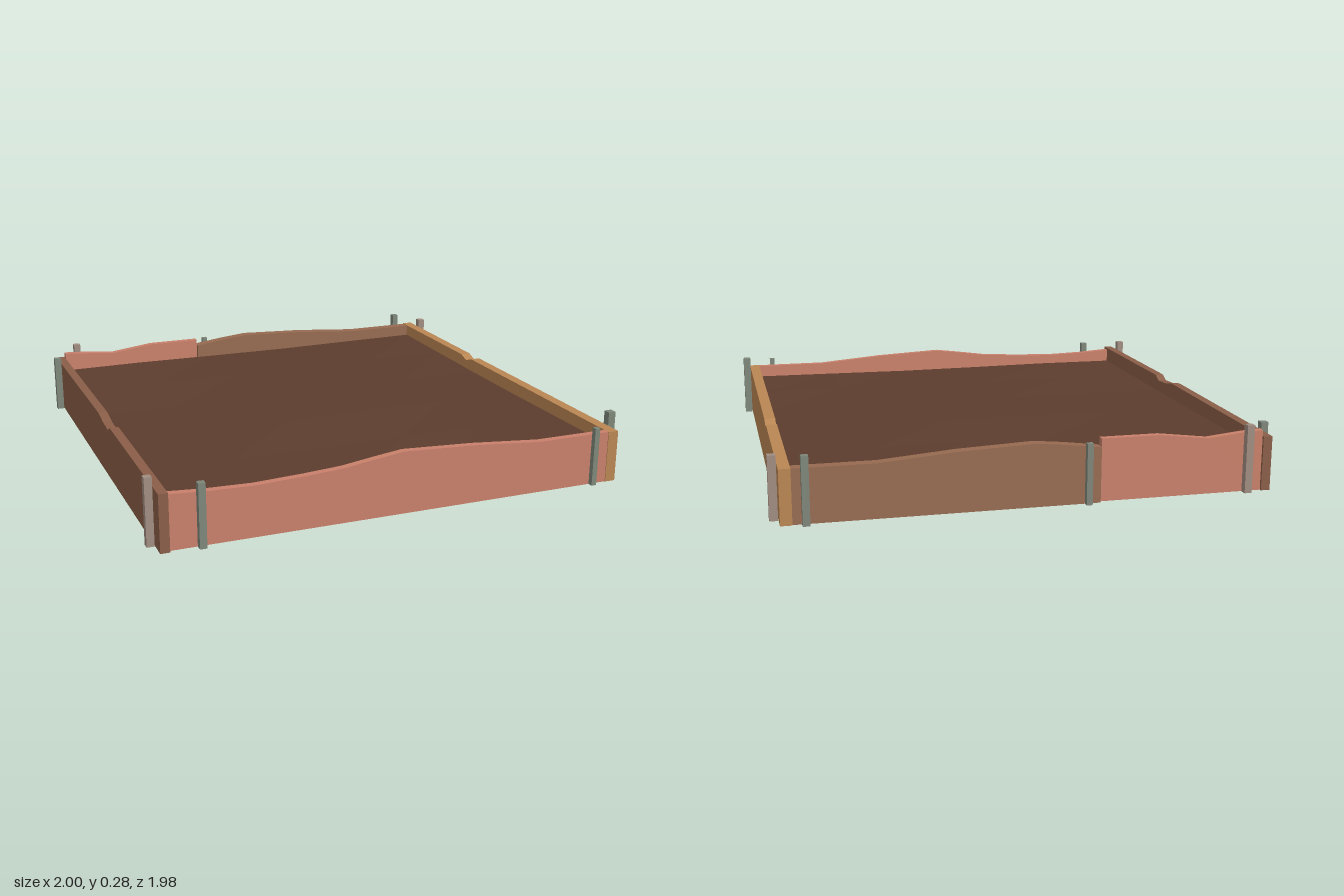
import * as THREE from 'three';

const mat = (color) => new THREE.MeshStandardMaterial({ color, flatShading: true, roughness: 0.9 });
const SALMON = mat(0xc8806a), GOLD = mat(0xb98653), BROWN = mat(0x966a50), DARK = mat(0x8a5e48);
const SOIL = mat(0x5c3d2e), GREY = mat(0x7d8578), PINK = mat(0xa08c80);

// Upright plank: 'top' is its upper edge as [along, height] points, left to right
function plank(name, top, thickness, material) {
  const shape = new THREE.Shape();
  shape.moveTo(top[0][0], 0);
  shape.lineTo(top[top.length - 1][0], 0);
  [...top].reverse().forEach(([u, y]) => shape.lineTo(u, y));
  const geometry = new THREE.ExtrudeGeometry(shape, { depth: thickness, bevelEnabled: false });
  const mesh = new THREE.Mesh(geometry, material);
  mesh.name = name;
  return mesh;
}

export function createModel() {
  const bed = new THREE.Group();
  bed.name = 'raisedGardenBed';

  // Soil with a barely uneven surface
  const soilGeo = new THREE.BoxGeometry(1.86, 0.15, 1.86, 5, 1, 5);
  const p = soilGeo.attributes.position;
  for (let i = 0; i < p.count; i++) {
    if (p.getY(i) > 0) p.setY(i, 0.075 + 0.003 * Math.sin(p.getX(i) * 4 + 1) * Math.cos(p.getZ(i) * 3));
  }
  soilGeo.computeVertexNormals();
  const soil = new THREE.Mesh(soilGeo, SOIL);
  soil.name = 'soil';
  soil.position.set(-0.005, 0.085, 0.005);
  bed.add(soil);

  // Front plank with a wavy upper edge
  const front = plank('frontPlank', [[-0.93, 0.22], [-0.78, 0.21], [-0.6, 0.205], [-0.4, 0.213], [-0.25, 0.222],
    [-0.12, 0.24], [0, 0.255], [0.3, 0.24], [0.6, 0.215], [0.92, 0.215]], 0.03, SALMON);
  front.position.z = 0.927;

  // Back side in two planks
  const backLong = plank('backLongPlank', [[-0.26, 0.22], [-0.12, 0.238], [0, 0.25], [0.3, 0.237],
    [0.6, 0.213], [0.92, 0.213]], 0.045, BROWN);
  backLong.position.z = -0.965;
  const backShort = plank('backShortPlank', [[-0.93, 0.245], [-0.85, 0.24], [-0.7, 0.225], [-0.5, 0.25],
    [-0.265, 0.25]], 0.03, SALMON);
  backShort.position.z = -0.95;

  // Side planks, running front to back, each with a chipped notch
  const leftSide = plank('leftPlank', [[-0.96, 0.215], [0.2, 0.215], [0.25, 0.198], [0.3, 0.215],
    [0.97, 0.215]], 0.045, GOLD);
  leftSide.position.x = 0.917;
  const rightSide = plank('rightPlank', [[-0.97, 0.23], [-0.205, 0.23], [-0.17, 0.21], [-0.08, 0.215], [0, 0.23],
    [0.45, 0.225], [0.96, 0.22]], 0.037, DARK);
  rightSide.position.x = -0.967;
  [leftSide, rightSide].forEach((side) => { side.rotation.y = Math.PI / 2; });
  bed.add(front, backLong, backShort, leftSide, rightSide);

  // Stakes around the outside: x, z, height, width, material
  const stakes = [
    [-0.984, -0.84, 0.25, 0.03, GREY], [-0.984, 0.885, 0.27, 0.03, PINK],
    [0.98, -0.89, 0.25, 0.032, PINK], [0.98, 0.87, 0.27, 0.032, GREY],
    [-0.865, -0.967, 0.275, 0.03, PINK], [-0.208, -0.977, 0.243, 0.024, GREY], [0.868, -0.98, 0.265, 0.028, GREY],
    [-0.81, 0.972, 0.255, 0.028, GREY], [0.85, 0.968, 0.245, 0.022, GREY],
  ];
  stakes.forEach(([x, z, h, w, material], i) => {
    const stake = new THREE.Mesh(new THREE.BoxGeometry(w, h, w), material);
    stake.name = `stake${i + 1}`;
    stake.position.set(x, h / 2, z);
    bed.add(stake);
  });

  return bed;
}
